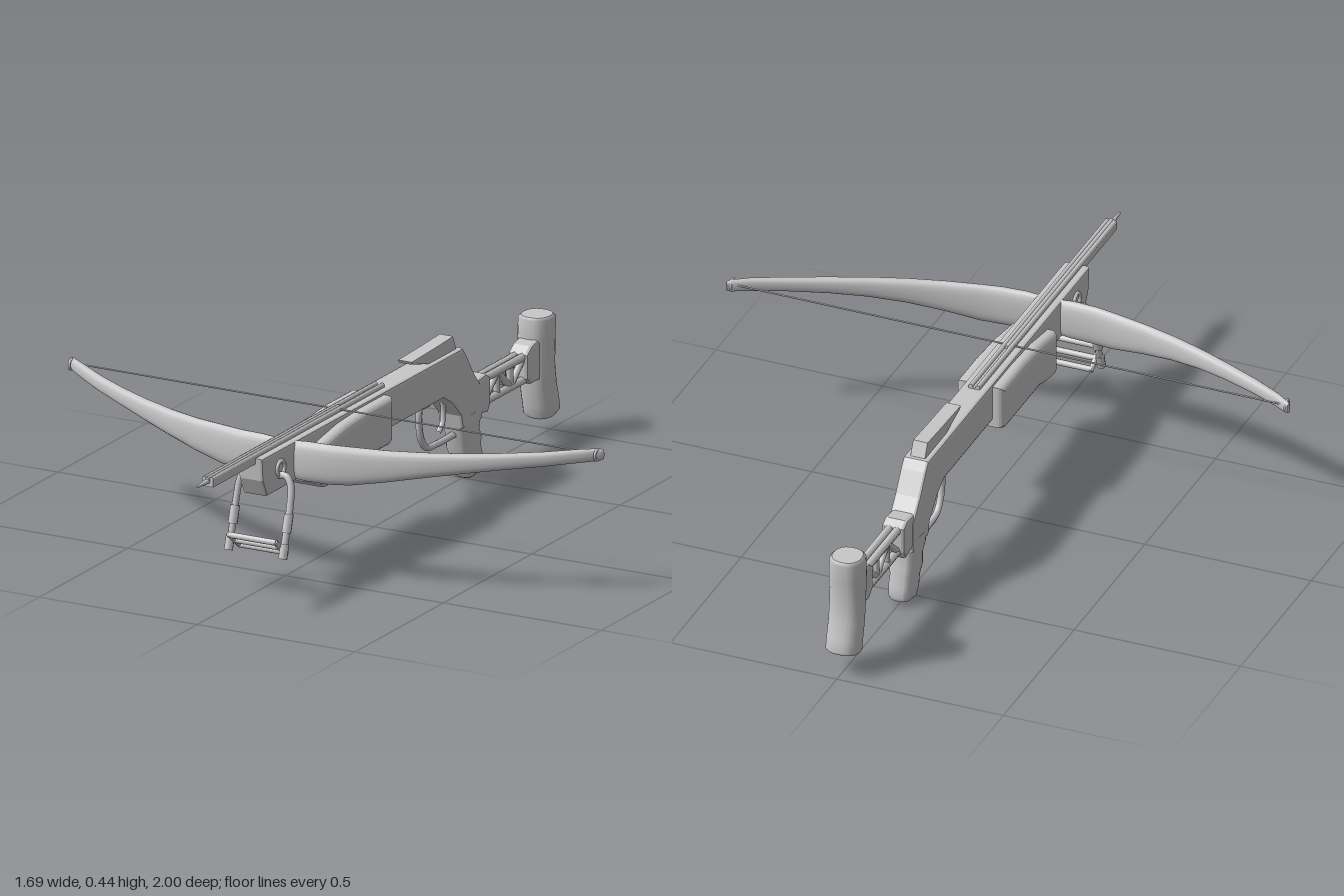
import * as THREE from 'three';

const grey = new THREE.MeshStandardMaterial({ color: 0xc8c8c8 });
grey.name = 'grey';
const V = (x, y, z) => new THREE.Vector3(x, y, z);

export function createModel() {
  const model = new THREE.Group();
  const add = (name, geo, parent = model) => {
    const mesh = new THREE.Mesh(geo, grey);
    mesh.name = name;
    parent.add(mesh);
  };
  const group = (name) => {
    const g = new THREE.Group();
    g.name = name;
    model.add(g);
    return g;
  };

  // Side profile of [z, y] points, given width, rounded edges and round holes [z, y, r]
  const slab = (pts, halfWidth, bevel, segments = 2, holes = []) => {
    const shape = new THREE.Shape(pts.map(([z, y]) => new THREE.Vector2(z, y)));
    for (const [z, y, r] of holes)
      shape.holes.push(new THREE.Path().absarc(z, y, r, 0, Math.PI * 2, true));
    const geo = new THREE.ExtrudeGeometry(shape, {
      depth: 2 * (halfWidth - bevel), bevelEnabled: true, bevelThickness: bevel,
      bevelSize: bevel, bevelOffset: -bevel, bevelSegments: segments,
    });
    return geo.translate(0, 0, bevel - halfWidth).rotateY(-Math.PI / 2);
  };
  const box = (x, y, z, w, h, d) => new THREE.BoxGeometry(w, h, d).translate(x, y, z);
  const tube = (pts, r, seg = 32) =>
    new THREE.TubeGeometry(new THREE.CatmullRomCurve3(pts), seg, r, 8);
  const rod = (a, b, r) => {
    const geo = new THREE.CylinderGeometry(r, r, a.distanceTo(b), 8);
    const dir = b.clone().sub(a).normalize();
    geo.applyQuaternion(new THREE.Quaternion().setFromUnitVectors(V(0, 1, 0), dir));
    return geo.translate((a.x + b.x) / 2, (a.y + b.y) / 2, (a.z + b.z) / 2);
  };

  // Smooth loft along centres; half sizes [along up, across], squareness by power
  const loft = (centres, sizes, up, power = 0.75, n = 20) => {
    const pos = [], idx = [], last = centres.length - 1;
    const pw = (v) => Math.sign(v) * Math.abs(v) ** power;
    centres.forEach((c, i) => {
      const t = centres[Math.min(i + 1, last)].clone().sub(centres[Math.max(i - 1, 0)]).normalize();
      const side = t.cross(up).normalize();
      for (let j = 0; j < n; j++) {
        const a = (j / n) * Math.PI * 2;
        const p = c.clone().addScaledVector(up, sizes[i][0] * pw(Math.cos(a)))
          .addScaledVector(side, sizes[i][1] * pw(Math.sin(a)));
        pos.push(p.x, p.y, p.z);
        if (i < last) {
          const k = (j + 1) % n, r = i * n, q = r + n;
          idx.push(r + j, r + k, q + j, r + k, q + k, q + j);
        }
      }
    });
    // End caps with their own vertices keep the rims sharp
    [0, last].forEach((i) => {
      const base = pos.length / 3;
      for (let j = 0; j < n; j++) pos.push(...pos.slice((i * n + j) * 3, (i * n + j) * 3 + 3));
      pos.push(...centres[i].toArray());
      for (let j = 0; j < n; j++) {
        const k = (j + 1) % n;
        if (i) idx.push(base + n, base + j, base + k);
        else idx.push(base + n, base + k, base + j);
      }
    });
    const geo = new THREE.BufferGeometry();
    geo.setAttribute('position', new THREE.Float32BufferAttribute(pos, 3));
    geo.setIndex(idx);
    geo.computeVertexNormals();
    return geo;
  };

  // Stock body with a stirrup hole, sweeping down to the grip
  add('stockBody', slab([[0.7, 0.405], [0.695, 0.34], [0.67, 0.29], [-0.33, 0.29], [-0.38, 0.26],
    [-0.43, 0.21], [-0.44, 0.17], [-0.55, 0.17], [-0.55, 0.26], [-0.5, 0.32], [-0.46, 0.38],
    [-0.44, 0.405]], 0.039, 0.008, 2, [[0.6, 0.353, 0.009]]));
  add('foreGrip', slab([[0.4, 0.37], [0.397, 0.25], [0.385, 0.238], [0.33, 0.244], [0.27, 0.26],
    [0.03, 0.26], [0.01, 0.27], [0.01, 0.398], [0.15, 0.398], [0.28, 0.39]], 0.073, 0.022, 5));

  // Grooved rail with a loaded bolt
  add('railBase', box(0, 0.399, 0.455, 0.034, 0.02, 0.97));
  for (const x of [-0.011, 0.011])
    add('railEdge', rod(V(x, 0.411, -0.03), V(x, 0.411, 0.94), 0.007));
  add('bolt', rod(V(0, 0.411, 0.2), V(0, 0.411, 0.945), 0.007));
  add('boltTip', new THREE.CylinderGeometry(0.003, 0.008, 0.065, 10)
    .rotateX(Math.PI / 2).translate(0, 0.405, 0.9675));

  // Rear sight
  add('rearSight', slab([[-0.175, 0.437], [-0.18, 0.428], [-0.28, 0.402], [-0.43, 0.402],
    [-0.41, 0.446], [-0.3, 0.441]], 0.023, 0.004));

  // Pistol grip with finger swells
  add('pistolGrip', loft(
    [V(0, 0.2, -0.495), V(0, 0.172, -0.498), V(0, 0.14, -0.504), V(0, 0.11, -0.51),
      V(0, 0.08, -0.519), V(0, 0.05, -0.527), V(0, 0.022, -0.536), V(0, 0.013, -0.538)],
    [[0.04, 0.054], [0.042, 0.058], [0.037, 0.05], [0.039, 0.054],
      [0.035, 0.048], [0.036, 0.049], [0.033, 0.044], [0.026, 0.036]], V(1, 0, 0), 0.6));

  // Trigger and guard
  add('triggerGuard', tube([V(0, 0.295, -0.262), V(0, 0.255, -0.255), V(0, 0.19, -0.265),
    V(0, 0.152, -0.295), V(0, 0.145, -0.35), V(0, 0.145, -0.46)], 0.01));
  add('guardMount', slab([[-0.25, 0.295], [-0.255, 0.275], [-0.29, 0.275], [-0.32, 0.295]], 0.018, 0.004));
  add('trigger', tube([V(0, 0.28, -0.385), V(0, 0.23, -0.395), V(0, 0.195, -0.388), V(0, 0.175, -0.365)], 0.008, 16));

  // Lattice strut between grip and butt
  const strut = group('stockStrut');
  add('strutFrontBlock', slab([[-0.53, 0.285], [-0.53, 0.185], [-0.59, 0.175], [-0.605, 0.2],
    [-0.605, 0.275], [-0.58, 0.29]], 0.035, 0.01), strut);
  add('strutRearBlock', slab([[-0.815, 0.275], [-0.815, 0.205], [-0.84, 0.185], [-0.89, 0.185],
    [-0.89, 0.305], [-0.84, 0.295]], 0.032, 0.01), strut);
  const stops = [-0.6, -0.675, -0.75, -0.825];
  for (const x of [-0.012, 0.012]) {
    for (const y of [0.2, 0.267]) add('strutRail', rod(V(x, y, -0.59), V(x, y, -0.83), 0.012), strut);
    for (let i = 0; i < 3; i++) {
      const [y0, y1] = i % 2 ? [0.267, 0.2] : [0.2, 0.267];
      add('strutBrace', rod(V(x, y0, stops[i]), V(x, y1, stops[i + 1]), 0.01), strut);
      if (i) add('strutPost', rod(V(x, 0.2, stops[i]), V(x, 0.267, stops[i]), 0.01), strut);
    }
  }

  // Shoulder butt
  add('butt', loft(
    [V(0, 0.363, -0.924), V(0, 0.355, -0.924), V(0, 0.3, -0.922), V(0, 0.22, -0.923),
      V(0, 0.16, -0.931), V(0, 0.11, -0.944), V(0, 0.078, -0.951), V(0, 0.07, -0.953)],
    [[0.042, 0.044], [0.05, 0.051], [0.051, 0.05], [0.05, 0.045],
      [0.05, 0.046], [0.05, 0.048], [0.05, 0.048], [0.043, 0.042]], V(1, 0, 0), 0.85, 24));

  // Bow limbs: [x, z, bottom y, top y, half thickness]
  const limb = [[0.03, 0.505, 0.295, 0.405, 0.016], [0.07, 0.504, 0.292, 0.408, 0.02],
    [0.14, 0.5, 0.292, 0.408, 0.02], [0.2, 0.489, 0.296, 0.408, 0.019], [0.3, 0.468, 0.315, 0.407, 0.018],
    [0.4, 0.438, 0.335, 0.408, 0.018], [0.5, 0.399, 0.352, 0.41, 0.017], [0.6, 0.352, 0.366, 0.413, 0.016],
    [0.7, 0.3, 0.377, 0.418, 0.015], [0.79, 0.245, 0.387, 0.425, 0.012], [0.835, 0.214, 0.391, 0.426, 0.009],
    [0.844, 0.206, 0.396, 0.422, 0.005]];
  for (const s of [-1, 1]) {
    const name = s > 0 ? 'left' : 'right';
    add(name + 'Limb', loft(limb.map(([x, z, b, t]) => V(s * x, (b + t) / 2, z)),
      limb.map(([, , b, t, d]) => [(t - b) / 2, d]), V(0, 1, 0), 0.8));
    add(name + 'StringLoop', new THREE.TorusGeometry(0.015, 0.004, 8, 16)
      .rotateY(Math.PI / 2).translate(s * 0.832, 0.409, 0.222));
  }
  add('bowString', rod(V(-0.832, 0.411, 0.218), V(0.832, 0.411, 0.218), 0.0025));

  // Foot stirrup hanging under the nose
  const stirrup = group('stirrup');
  for (const s of [-1, 1]) {
    add('stirrupPivot', new THREE.TorusGeometry(0.021, 0.006, 8, 20)
      .rotateY(Math.PI / 2).translate(s * 0.041, 0.353, 0.6), stirrup);
    add('stirrupArm', tube([V(s * 0.038, 0.333, 0.605), V(s * 0.062, 0.335, 0.606), V(s * 0.08, 0.31, 0.612),
      V(s * 0.085, 0.26, 0.625), V(s * 0.085, 0.19, 0.645), V(s * 0.085, 0.12, 0.667)], 0.01), stirrup);
    add('stirrupCollar', rod(V(s * 0.085, 0.235, 0.632), V(s * 0.085, 0.185, 0.647), 0.014), stirrup);
    add('stirrupFoot', rod(V(s * 0.086, 0.155, 0.657), V(s * 0.086, 0.115, 0.669), 0.013), stirrup);
    add('treadEnd', rod(V(s * 0.072, 0.168, 0.69), V(s * 0.072, 0.118, 0.625), 0.008), stirrup);
  }
  for (const [y, z] of [[0.165, 0.686], [0.143, 0.658], [0.122, 0.63]])
    add('stirrupTread', rod(V(-0.075, y, z), V(0.075, y, z), 0.009), stirrup);

  return model;
}
